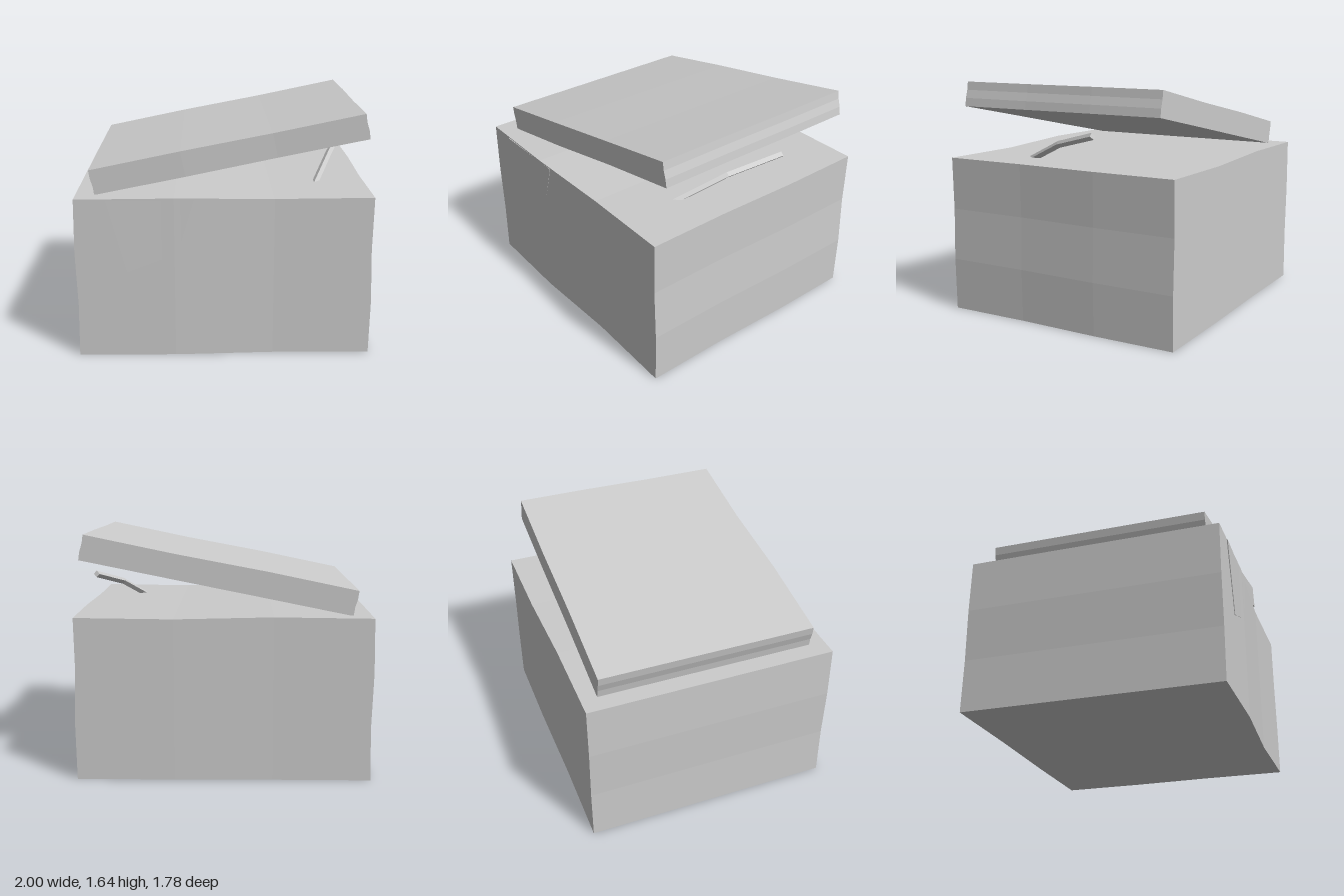
import * as THREE from 'three';

const grey = new THREE.MeshStandardMaterial({ color: 0xcccccc, flatShading: true, side: THREE.DoubleSide });

function part(name, geometry) {
  const mesh = new THREE.Mesh(geometry, grey);
  mesh.name = name;
  return mesh;
}

// Box of 3 x 3 x 3 cells whose faces are nudged for a hand-cut, slightly warped look
function warpedBox(w, h, d, amount) {
  const geo = new THREE.BoxGeometry(w, h, d, 3, 3, 3);
  const p = geo.attributes.position;
  for (let i = 0; i < p.count; i++) {
    const x = p.getX(i), y = p.getY(i), z = p.getZ(i);
    const a = Math.round((x / w + 0.5) * 3), b = Math.round((y / h + 0.5) * 3), c = Math.round((z / d + 0.5) * 3);
    const wave = [0, 1, -1, 0];
    if (c === 3) p.setZ(i, z + amount * wave[a]);
    if (c === 0) p.setZ(i, z + amount * 0.3 * wave[a]);
    if (b === 3) p.setY(i, y + amount * 0.6 * wave[a]);
    if (a === 3) p.setX(i, x + amount * 0.5 * (wave[b] + wave[c]) - amount * 0.5);
    if (a === 0) p.setX(i, x + amount * 0.5 * wave[b] + amount * 0.5);
  }
  geo.computeVertexNormals();
  return geo;
}

// Bent bar with a rectangular section swept along a short path
function bentBar(points, width, height) {
  const path = points.map((q) => new THREE.Vector3(...q));
  const u = new THREE.Vector3(1, -1, 0).normalize();
  const pos = [], idx = [];
  path.forEach((q, i) => {
    const dir = path[Math.min(i + 1, path.length - 1)].clone().sub(path[Math.max(i - 1, 0)]);
    const v = u.clone().cross(dir).normalize();
    for (const [s, t] of [[-1, -1], [1, -1], [1, 1], [-1, 1]]) {
      const k = q.clone().addScaledVector(u, s * width / 2).addScaledVector(v, t * height / 2);
      pos.push(k.x, k.y, k.z);
    }
    if (i === 0) return;
    for (let j = 0; j < 4; j++) {
      const a = (i - 1) * 4 + j, b = (i - 1) * 4 + (j + 1) % 4;
      idx.push(a, b, b + 4, a, b + 4, a + 4);
    }
  });
  const e = (path.length - 1) * 4;
  idx.push(0, 2, 1, 0, 3, 2, e, e + 1, e + 2, e, e + 2, e + 3);
  const geo = new THREE.BufferGeometry();
  geo.setAttribute('position', new THREE.Float32BufferAttribute(pos, 3));
  geo.setIndex(idx);
  geo.computeVertexNormals();
  return geo;
}

export function createModel() {
  const model = new THREE.Group();

  // Body of the box
  const body = part('boxBody', warpedBox(1.99, 1.105, 1.765, 0.012));
  body.position.set(0, 0.5525, -0.005);
  model.add(body);

  // Lid, resting on its right-hand edge and tipped open
  const lid = part('lid', warpedBox(1.867, 0.172, 1.535, 0.006));
  lid.position.set(0.0325, 1.372, -0.005);
  lid.rotation.z = Math.atan2(0.37, 1.83);
  model.add(lid);

  // Bent stick poking out of the top
  model.add(part('stick', bentBar([[0.63, 1.07, 0.47], [0.785, 1.23, 0.1], [0.925, 1.323, -0.26]], 0.032, 0.036)));

  // Thin hanging flap lying almost flush with the front
  const shape = new THREE.Shape([
    [-0.78, 1.1], [-0.65, 0.6], [-0.31, 0.73], [-0.2, 1.1],
  ].map(([x, y]) => new THREE.Vector2(x, y)));
  const flap = part('frontFlap', new THREE.ExtrudeGeometry(shape, { depth: 0.02, bevelEnabled: false }));
  flap.position.z = 0.868;
  model.add(flap);

  return model;
}
